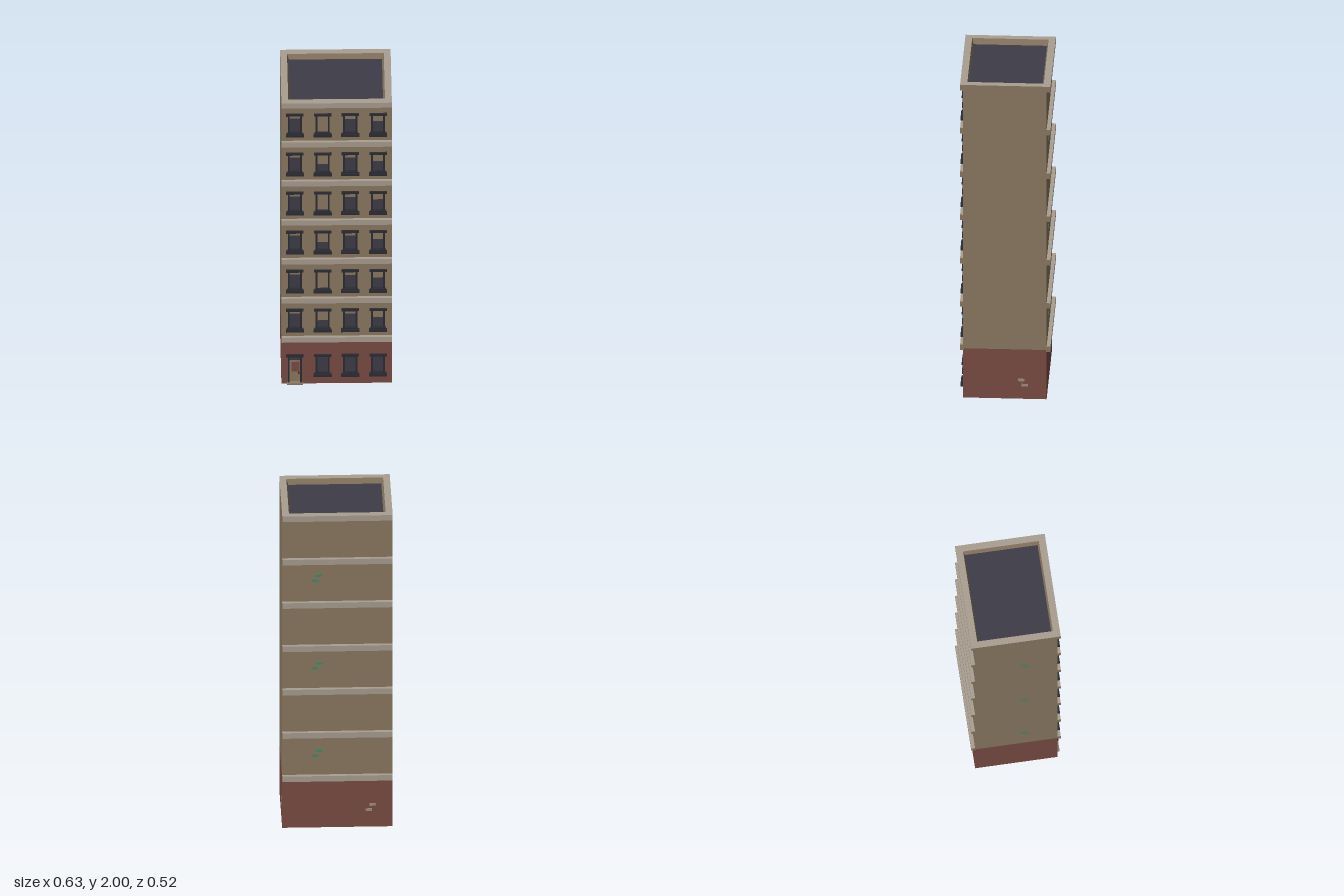
import * as THREE from 'three';

const mat = (name, color, side = THREE.FrontSide) => {
  const m = new THREE.MeshStandardMaterial({ color, side });
  m.name = name;
  return m;
};

export function createModel() {
  const root = new THREE.Group();
  root.name = 'apartmentBuilding';
  const tan = mat('tanWall', 0x8b7962, THREE.DoubleSide);
  const brick = mat('redBrick', 0x7a4c44, THREE.DoubleSide);
  const trim = mat('paleTrim', 0xaa9e91);
  const glass = mat('darkGlass', 0x3e3d48);
  const frame = mat('blackFrame', 0x2b2b33);
  const green = mat('greenBrick', 0x468a68);
  const pale = mat('paleBrick', 0xa08f7c);

  const W = 0.315, FRONT = 0.24, BACK = -0.236, LEDGE = 0.258;
  const BASE = 0.315, FLOOR = 0.277, TOP = 2;
  const WIN_X = [0, 1, 2, 3].map(i => -0.238 + i * 0.158);

  const add = (parent, name, geo, material, x = 0, y = 0, z = 0) => {
    const m = new THREE.Mesh(geo, material);
    m.name = name;
    m.position.set(x, y, z);
    parent.add(m);
    return m;
  };
  // Box given by centre x, width, and its y and z ranges
  const box = (parent, name, material, x, w, y0, y1, z0, z1) =>
    add(parent, name, new THREE.BoxGeometry(w, y1 - y0, z1 - z0), material, x, (y0 + y1) / 2, (z0 + z1) / 2);
  const poly = pts => new THREE.Shape(pts.map(p => new THREE.Vector2(...p)));
  const rect = (x0, y0, x1, y1) => poly([[x0, y0], [x1, y0], [x1, y1], [x0, y1]]);

  // Side and back walls, brick below and tan above
  for (const [name, material, y0, y1] of [['ground', brick, 0, BASE], ['upper', tan, BASE, TOP]]) {
    const h = y1 - y0, y = (y0 + y1) / 2, depth = FRONT - BACK;
    for (const s of [-1, 1]) {
      const wall = add(root, name + 'SideWall', new THREE.PlaneGeometry(depth, h), material, s * W, y, (FRONT + BACK) / 2);
      wall.rotation.y = s * Math.PI / 2;
    }
    add(root, name + 'BackWall', new THREE.PlaneGeometry(2 * W, h), material, 0, y, BACK).rotation.y = Math.PI;
  }

  // Window set into an opening: glass, blind, jambs, lintel and sill
  const addWindow = (x, y0, y1, blind) => {
    const g = new THREE.Group();
    g.name = 'window';
    root.add(g);
    const low = y0 + 0.022, high = y1 - 0.015;
    box(g, 'glass', glass, x, 0.07, low, high, 0.226, 0.232);
    if (blind) box(g, 'blind', tan, x, 0.062, high - (high - low) * blind, high, 0.232, 0.235);
    for (const s of [-1, 1]) box(g, 'jamb', frame, x + s * 0.035, 0.011, low, high, 0.225, 0.244);
    box(g, 'lintel', frame, x, 0.1, high, y1, 0.225, 0.25);
    box(g, 'sill', frame, x, 0.104, y0, low - 0.006, 0.225, 0.257);
    box(g, 'sillTop', frame, x, 0.09, low - 0.006, low + 0.002, 0.225, 0.25);
  };
  const opening = (x, y0, y1) => rect(x - 0.036, y0 + 0.014, x + 0.036, y1 - 0.007);

  // Upper front wall with six rows of windows
  const upper = rect(-W, BASE, W, TOP);
  const blinds = [[0.2, 0.6, 0.22, 0.45], [0.2, 1, 0.25, 0.4]];
  for (let f = 0; f < 6; f++) {
    const y0 = 0.373 + f * FLOOR, y1 = y0 + 0.158;
    WIN_X.forEach((x, i) => {
      upper.holes.push(opening(x, y0, y1));
      addWindow(x, y0, y1, blinds[f % 2][i]);
    });
  }
  add(root, 'upperFrontWall', new THREE.ShapeGeometry(upper), tan, 0, 0, FRONT);

  // Ground front wall with a doorway and three windows
  const dx = WIN_X[0];
  const ground = poly([[-W, 0], [dx - 0.036, 0], [dx - 0.036, 0.195], [dx + 0.036, 0.195],
    [dx + 0.036, 0], [W, 0], [W, BASE], [-W, BASE]]);
  for (const x of WIN_X.slice(1)) {
    ground.holes.push(opening(x, 0.056, 0.208));
    addWindow(x, 0.056, 0.208, 0);
  }
  add(root, 'groundFrontWall', new THREE.ShapeGeometry(ground), brick, 0, 0, FRONT);

  // Entrance
  const door = new THREE.Group();
  door.name = 'entrance';
  root.add(door);
  box(door, 'doorLeaf', tan, dx, 0.07, 0, 0.16, 0.226, 0.232);
  box(door, 'doorPanel', brick, dx + 0.004, 0.044, 0.08, 0.148, 0.232, 0.235);
  box(door, 'doorKnob', frame, dx + 0.022, 0.01, 0.068, 0.078, 0.232, 0.24);
  box(door, 'transom', glass, dx, 0.07, 0.16, 0.195, 0.226, 0.232);
  for (const s of [-1, 1]) box(door, 'doorJamb', frame, dx + s * 0.035, 0.011, 0, 0.195, 0.225, 0.244);
  box(door, 'doorLintel', frame, dx, 0.1, 0.192, 0.208, 0.225, 0.25);
  box(door, 'doorStep', tan, dx, 0.09, 0, 0.01, 0.226, 0.256);

  // Ledges across the front and back at every floor
  const ledgeMats = [tan, tan, trim, trim, trim, trim];
  for (let f = 0; f < 7; f++) {
    const y0 = 0.303 + f * FLOOR, y1 = f === 6 ? TOP : y0 + 0.035;
    box(root, 'frontLedge', ledgeMats, 0, 2 * W, y0, y1, FRONT - 0.004, LEDGE);
    box(root, 'backLedge', ledgeMats, 0, 2 * W, y0, y1, -LEDGE, BACK + 0.004);
  }

  // Ceiling over the hollow ground floor
  add(root, 'ceiling', new THREE.PlaneGeometry(2 * W, FRONT - BACK), tan, 0, BASE - 0.005, 0).rotation.x = Math.PI / 2;

  // Parapet top, sloping inner lip and sunken roof
  const ring = rect(-W, -LEDGE, W, LEDGE);
  ring.holes.push(rect(-0.276, -0.218, 0.276, 0.218));
  add(root, 'parapetTop', new THREE.ShapeGeometry(ring), trim, 0, TOP, 0).rotation.x = -Math.PI / 2;
  const lip = new THREE.CylinderGeometry(Math.SQRT2, Math.SQRT2 * 0.96, 0.035, 4, 1, true)
    .rotateY(Math.PI / 4).scale(0.276, 1, 0.218).toNonIndexed();
  lip.computeVertexNormals();
  add(root, 'parapetLip', lip, tan, 0, TOP - 0.0175, 0);
  add(root, 'roof', new THREE.PlaneGeometry(0.54, 0.425), glass, 0, TOP - 0.034, 0).rotation.x = -Math.PI / 2;

  // Pairs of odd bricks; each panel's local x runs to the viewer's right
  const brickPair = (material, x, y, z, turn, slant) => {
    const g = new THREE.Group();
    g.name = 'oddBricks';
    g.position.set(x, y, z);
    g.rotation.y = turn;
    root.add(g);
    for (const s of [-1, 1])
      add(g, 'oddBrick', new THREE.BoxGeometry(0.037, 0.016, 0.002), material, s * 0.011 * slant, s * 0.016, 0);
  };
  brickPair(pale, W, 0.104, -0.101, Math.PI / 2, -1);
  brickPair(pale, -0.19, 0.125, BACK, Math.PI, 1);
  for (const f of [0, 2, 4]) {
    const y = 0.475 + f * FLOOR * 1.01;
    brickPair(green, 0.115, y, BACK, Math.PI, 1);
    brickPair(green, -W, y, 0.05, -Math.PI / 2, -1);
  }
  return root;
}
